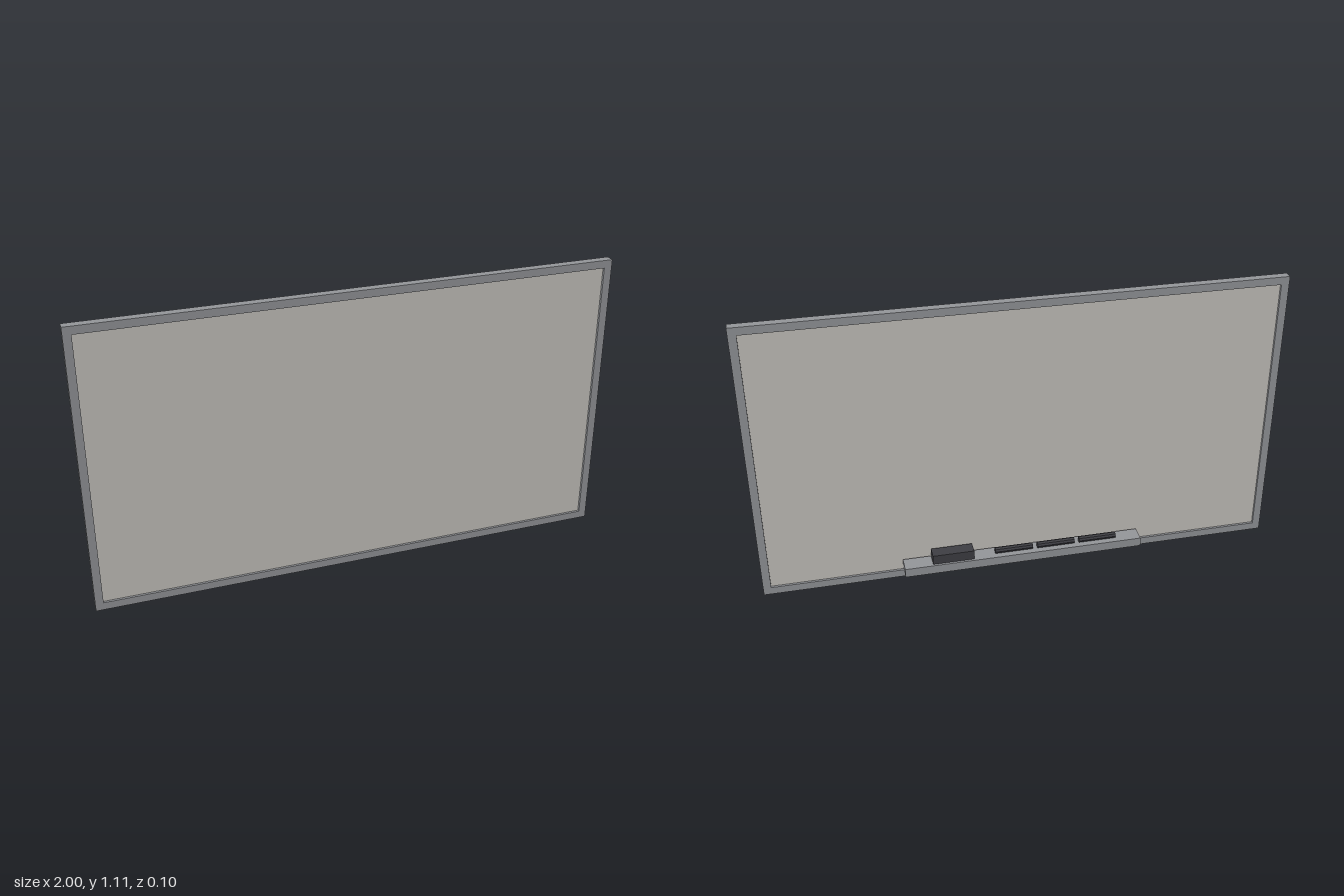
import * as THREE from 'three';

const mat = (name, color) => {
  const m = new THREE.MeshStandardMaterial({ color });
  m.name = name;
  return m;
};

export function createModel() {
  const frameGrey = mat('frame grey', 0x95979b);
  const panelGrey = mat('panel warm grey', 0xc8c5c0);
  const darkGrey = mat('dark grey', 0x3f3f44);
  darkGrey.flatShading = true;

  const board = new THREE.Group();
  board.name = 'whiteboard';

  const add = (name, geometry, material, x, y, z) => {
    const mesh = new THREE.Mesh(geometry, material);
    mesh.name = name;
    mesh.position.set(x, y, z);
    board.add(mesh);
    return mesh;
  };

  const H = 1.11, border = 0.03, zBack = 0.017, depth = 0.033;

  // Rectangular frame with an opening
  const outline = new THREE.Shape();
  outline.moveTo(-1, 0).lineTo(1, 0).lineTo(1, H).lineTo(-1, H).closePath();
  const opening = new THREE.Path();
  opening.moveTo(-1 + border, border).lineTo(-1 + border, H - border)
    .lineTo(1 - border, H - border).lineTo(1 - border, border).closePath();
  outline.holes.push(opening);
  add('frame', new THREE.ExtrudeGeometry(outline, { depth, bevelEnabled: false }), frameGrey, 0, 0, zBack);

  // Writing panel, recessed on both sides
  add('panel', new THREE.BoxGeometry(2 - 2 * border, H - 2 * border, 0.015),
    panelGrey, 0, H / 2, zBack + depth / 2);

  // Tray on the back, near the bottom edge
  const trayTop = 0.079;
  add('tray', new THREE.BoxGeometry(0.934, 0.036, 0.066), frameGrey, 0, trayTop - 0.018, -0.016);

  // Eraser resting on the tray
  add('eraser', new THREE.BoxGeometry(0.16, 0.038, 0.05), darkGrey, 0.278, trayTop + 0.019, -0.015);

  // Three markers lying along the tray
  const r = 0.0125;
  const markerGeometry = new THREE.CylinderGeometry(r, r, 0.148, 8).rotateZ(Math.PI / 2);
  for (let i = 0; i < 3; i++) {
    add(`marker${i + 1}`, markerGeometry, darkGrey, -0.295 + i * 0.167, trayTop + r, -0.02);
  }

  return board;
}
